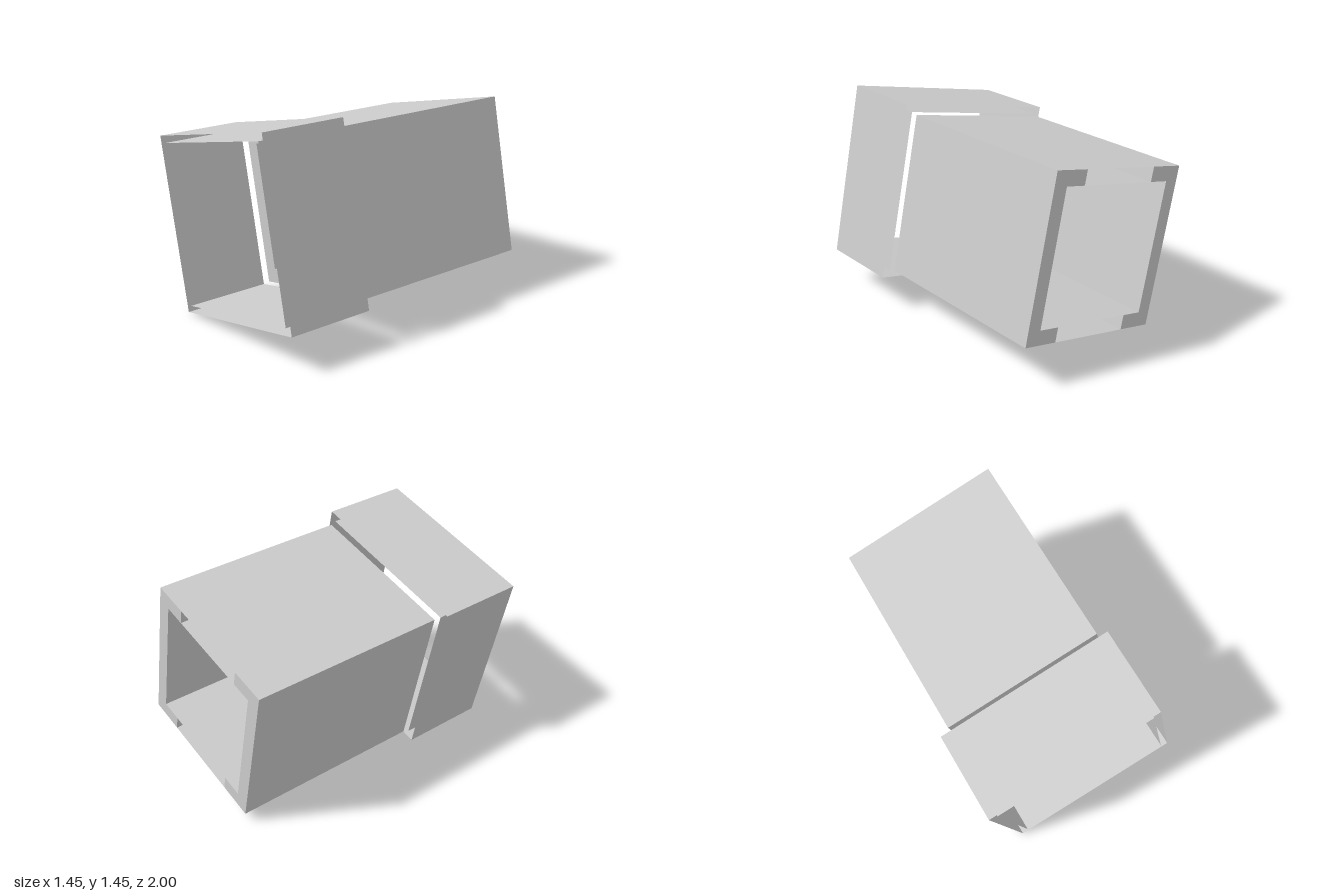
import * as THREE from 'three';

const material = new THREE.MeshStandardMaterial({ color: 0xcccccc, flatShading: true, side: THREE.DoubleSide });

const TILT = THREE.MathUtils.degToRad(12.1);
const OUTER = 0.55;    // half width of the body
const INNER = 0.45;    // half width of its opening
const SLOT = 0.3;      // half width of the slots in the back rim
const BACK = -1, FRONT = 0.36;

function add(parent, name, geometry) {
  const mesh = new THREE.Mesh(geometry, material);
  mesh.name = name;
  parent.add(mesh);
  return mesh;
}

// Four thin walls around a square opening, running from z0 to z1
function squareTube(half, z0, z1) {
  return new THREE.CylinderGeometry(half * Math.SQRT2, half * Math.SQRT2, z1 - z0, 4, 1, true)
    .rotateY(Math.PI / 4)
    .rotateX(Math.PI / 2)
    .translate(0, 0, (z0 + z1) / 2);
}

function polygon(points) {
  return new THREE.Shape(points.map(([x, y]) => new THREE.Vector2(x, y)));
}

function square(h) {
  return polygon([[-h, -h], [h, -h], [h, h], [-h, h]]);
}

export function createModel() {
  const model = new THREE.Group();
  model.name = 'squareTubes';

  // Long body: double walls, closed at the front rim
  const body = new THREE.Group();
  body.name = 'body';
  add(body, 'bodyOuterWalls', squareTube(OUTER, BACK, FRONT));
  add(body, 'bodyInnerWalls', squareTube(INNER, BACK, FRONT));
  const rim = square(OUTER);
  rim.holes.push(square(INNER));
  add(body, 'frontRim', new THREE.ShapeGeometry(rim).translate(0, 0, FRONT));

  // Back rim: two brackets, leaving a slot in the top and bottom walls
  for (const side of [-1, 1]) {
    const bracket = polygon([
      [SLOT, -OUTER], [OUTER, -OUTER], [OUTER, OUTER], [SLOT, OUTER],
      [SLOT, INNER], [INNER, INNER], [INNER, -INNER], [SLOT, -INNER],
    ].map(([x, y]) => [x * side, y]));
    add(body, 'backRim', new THREE.ShapeGeometry(bracket).rotateY(Math.PI).scale(-1, 1, 1).translate(0, 0, BACK));

    // Side walls of the slots
    for (const level of [-1, 1]) {
      const wall = new THREE.PlaneGeometry(FRONT - BACK, OUTER - INNER).rotateY(-side * Math.PI / 2);
      add(body, 'slotSide', wall).position.set(side * SLOT, level * (OUTER + INNER) / 2, (FRONT + BACK) / 2);
    }
  }
  model.add(body);

  // Short, slightly wider sleeve with open-ended double walls
  const sleeve = new THREE.Group();
  sleeve.name = 'sleeve';
  add(sleeve, 'sleeveOuterWalls', squareTube(0.61, 0.4, 1));
  add(sleeve, 'sleeveInnerWalls', squareTube(0.56, 0.4, 1));
  model.add(sleeve);

  // Both parts lean together and stand on their lowest corner
  for (const part of [body, sleeve]) {
    part.rotation.z = TILT;
    part.position.y = 0.61 * (Math.cos(TILT) + Math.sin(TILT));
  }
  return model;
}
